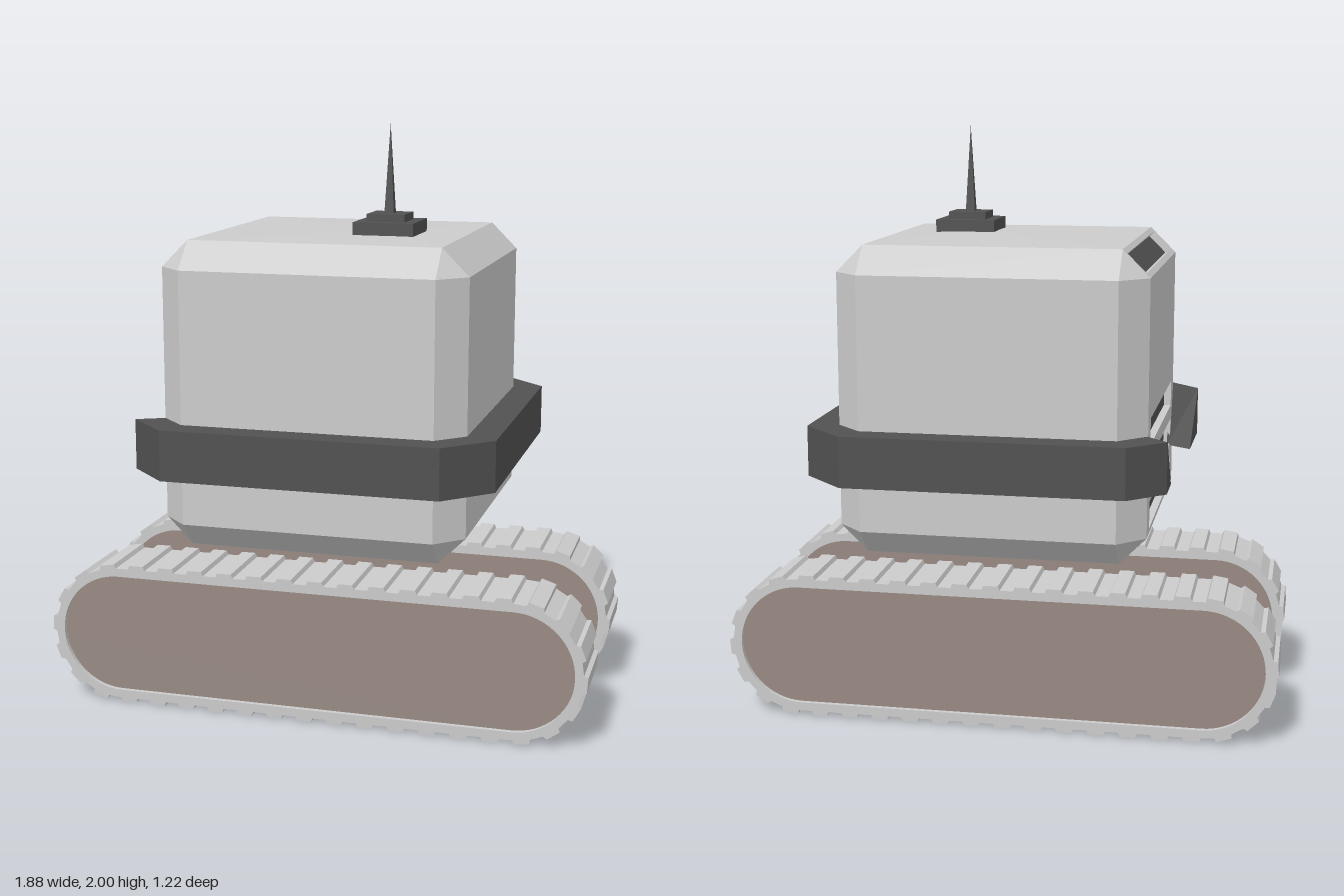
import * as THREE from 'three';
import { ConvexGeometry } from 'three/addons/geometries/ConvexGeometry.js';

const material = (color) => new THREE.MeshStandardMaterial({ color, flatShading: true });
const grey = material(0xcccccc);
const dark = material(0x515151);
const brown = material(0x998a84);

function add(parent, name, geometry, mat, x = 0, y = 0, z = 0) {
  const mesh = new THREE.Mesh(geometry, mat);
  mesh.name = name;
  mesh.position.set(x, y, z);
  parent.add(mesh);
  return mesh;
}

// Rectangle path centred on (x, y)
function rect(PathType, x, y, w, h) {
  return new PathType([[-1, -1], [1, -1], [1, 1], [-1, 1]]
    .map(([a, b]) => new THREE.Vector2(x + a * w / 2, y + b * h / 2)));
}

// Plate with slots [x, y, w, h] and a dark backing; its face lies on z = 0
function slottedPlate(name, w, h, slots) {
  const group = new THREE.Group();
  group.name = name;
  const shape = rect(THREE.Shape, 0, 0, w, h);
  slots.forEach((s) => shape.holes.push(rect(THREE.Path, ...s)));
  add(group, 'slotFrame', new THREE.ExtrudeGeometry(shape, { depth: 0.04, bevelEnabled: false }), grey, 0, 0, -0.04);
  add(group, 'slotBacking', new THREE.PlaneGeometry(w * 0.96, h * 0.96), dark, 0, 0, -0.025);
  group.rotation.order = 'YXZ';
  group.rotation.y = -Math.PI / 2;
  return group;
}

// Chamfered body with a faintly peaked roof; the two slotted facets are left open
function bodyGeometry() {
  const half = 0.515, inner = 0.425, points = [];
  for (const sx of [-1, 1]) for (const sy of [-1, 1]) for (const sz of [-1, 1]) {
    for (let axis = 0; axis < 3; axis++) {
      const p = [sx * inner, sy * inner, sz * inner];
      p[axis] *= half / inner;
      points.push(new THREE.Vector3(p[0] + 0.015, p[1] + 1.115, p[2]));
    }
  }
  points.push(new THREE.Vector3(0.19, 1.642, 0.1));
  const pos = new ConvexGeometry(points).getAttribute('position');
  const kept = [], n = new THREE.Vector3();
  for (let i = 0; i < pos.count; i += 3) {
    const t = [0, 1, 2].map((k) => new THREE.Vector3().fromBufferAttribute(pos, i + k));
    new THREE.Triangle(...t).getNormal(n);
    const side = n.x < -0.99;
    const topChamfer = n.x < -0.5 && n.y > 0.5 && Math.abs(n.z) < 0.1;
    if (!side && !topChamfer) t.forEach((v) => kept.push(v.x, v.y, v.z));
  }
  const geo = new THREE.BufferGeometry();
  geo.setAttribute('position', new THREE.Float32BufferAttribute(kept, 3));
  geo.computeVertexNormals();
  return geo;
}

// Open belt swept through rectangular sections, with slanted ends
function bandGeometry() {
  const top = 1.03, low = 0.86;
  // outer x, z, inner x, z
  const path = [
    [-0.57, -0.50, -0.49, -0.42], [-0.45, -0.61, -0.41, -0.50], [0.48, -0.61, 0.44, -0.50],
    [0.63, -0.46, 0.52, -0.42], [0.63, 0.46, 0.52, 0.42], [0.48, 0.61, 0.44, 0.50],
    [-0.45, 0.61, -0.41, 0.50], [-0.59, 0.47, -0.49, 0.42],
  ];
  const section = ([ox, oz, ix, iz], [px, pz, qx, qz], y) =>
    [[ox, top, oz], [ix, top, iz], [qx, y, qz], [px, y, pz]];
  const rings = path.map((p) => section(p, p, low));
  rings.unshift(section(path[0], [-0.57, -0.36, -0.49, -0.25], low));
  rings.push(section(path[7], [-0.58, 0.27, -0.49, 0.33], 0.84));
  const out = [];
  const quad = (a, b, c, d) => out.push(...a, ...b, ...c, ...a, ...c, ...d);
  for (let i = 0; i < rings.length - 1; i++) {
    const r = rings[i], s = rings[i + 1];
    for (let k = 0; k < 4; k++) quad(r[k], r[(k + 1) % 4], s[(k + 1) % 4], s[k]);
  }
  const first = rings[0];
  quad(first[0], first[3], first[2], first[1]);
  quad(...rings[rings.length - 1]);
  const geo = new THREE.BufferGeometry();
  geo.setAttribute('position', new THREE.Float32BufferAttribute(out, 3));
  geo.computeVertexNormals();
  return geo;
}

// Point at distance s along a stadium outline, pushed out to the given radius
const STRAIGHT = 0.69, MID = 0.24;
function stadiumPoint(s, radius) {
  const line = 2 * STRAIGHT, arc = Math.PI * MID, halfLoop = line + arc;
  const flip = s % (2 * halfLoop) >= halfLoop ? -1 : 1;
  const t = s % halfLoop;
  if (t < line) return new THREE.Vector2(flip * (t - STRAIGHT), -flip * radius);
  const a = (t - line) / MID - Math.PI / 2;
  return new THREE.Vector2(flip * (STRAIGHT + radius * Math.cos(a)), flip * radius * Math.sin(a));
}

function stadium(PathType, radius) {
  const path = new PathType();
  path.absarc(STRAIGHT, 0, radius, -Math.PI / 2, Math.PI / 2, false);
  path.absarc(-STRAIGHT, 0, radius, Math.PI / 2, Math.PI * 1.5, false);
  return path;
}

function buildTrack(name) {
  const group = new THREE.Group();
  group.name = name;
  const teeth = 40, pitch = (4 * STRAIGHT + 2 * Math.PI * MID) / teeth;
  const outline = [];
  for (let i = 0; i < teeth; i++) {
    [[0, 0.236], [0.06, 0.25], [0.52, 0.25], [0.58, 0.236]]
      .forEach(([f, r]) => outline.push(stadiumPoint((i + f) * pitch, r)));
  }
  const belt = new THREE.Shape(outline);
  belt.holes.push(stadium(THREE.Path, 0.207));
  add(group, 'trackBelt', new THREE.ExtrudeGeometry(belt, { depth: 0.262, bevelEnabled: false, curveSegments: 16 }), grey, 0, 0, -0.131);
  add(group, 'trackPanel', new THREE.ExtrudeGeometry(stadium(THREE.Shape, 0.207), { depth: 0.23, bevelEnabled: false, curveSegments: 16 }), brown, 0, 0, -0.115);
  return group;
}

export function createModel() {
  const model = new THREE.Group();
  model.name = 'trackedRobot';

  // Body and its slotted facets
  add(model, 'body', bodyGeometry(), grey);
  const grille = slottedPlate('sideGrille', 0.85, 0.85,
    [1.03, 0.89, 0.75].map((y) => [0, y - 1.115, 0.7, 0.09]));
  grille.position.set(-0.5, 1.115, 0);
  const visor = slottedPlate('topSlot', 0.85, 0.09 * Math.SQRT2, [[0, 0, 0.82, 0.088]]);
  visor.rotation.x = -Math.PI / 4;
  visor.position.set(-0.455, 1.585, 0);
  model.add(grille, visor);

  // Belt around the body
  add(model, 'waistBand', bandGeometry(), dark);

  // Antenna on a stepped base
  const antenna = new THREE.Group();
  antenna.name = 'antenna';
  antenna.position.set(0.192, 0, 0.104);
  add(antenna, 'antennaBase', new THREE.BoxGeometry(0.205, 0.05, 0.205), dark, 0, 1.655);
  add(antenna, 'antennaStep', new THREE.BoxGeometry(0.13, 0.03, 0.13), dark, 0, 1.69);
  const spike = new THREE.ConeGeometry(0.023, 0.3, 4).rotateY(Math.PI / 4);
  add(antenna, 'antennaSpike', spike, dark, 0, 1.85);
  model.add(antenna);

  // Tracks
  for (const side of [1, -1]) {
    const track = buildTrack(side > 0 ? 'frontTrack' : 'backTrack');
    track.position.set(0, 0.25, side * 0.296);
    model.add(track);
  }
  return model;
}
